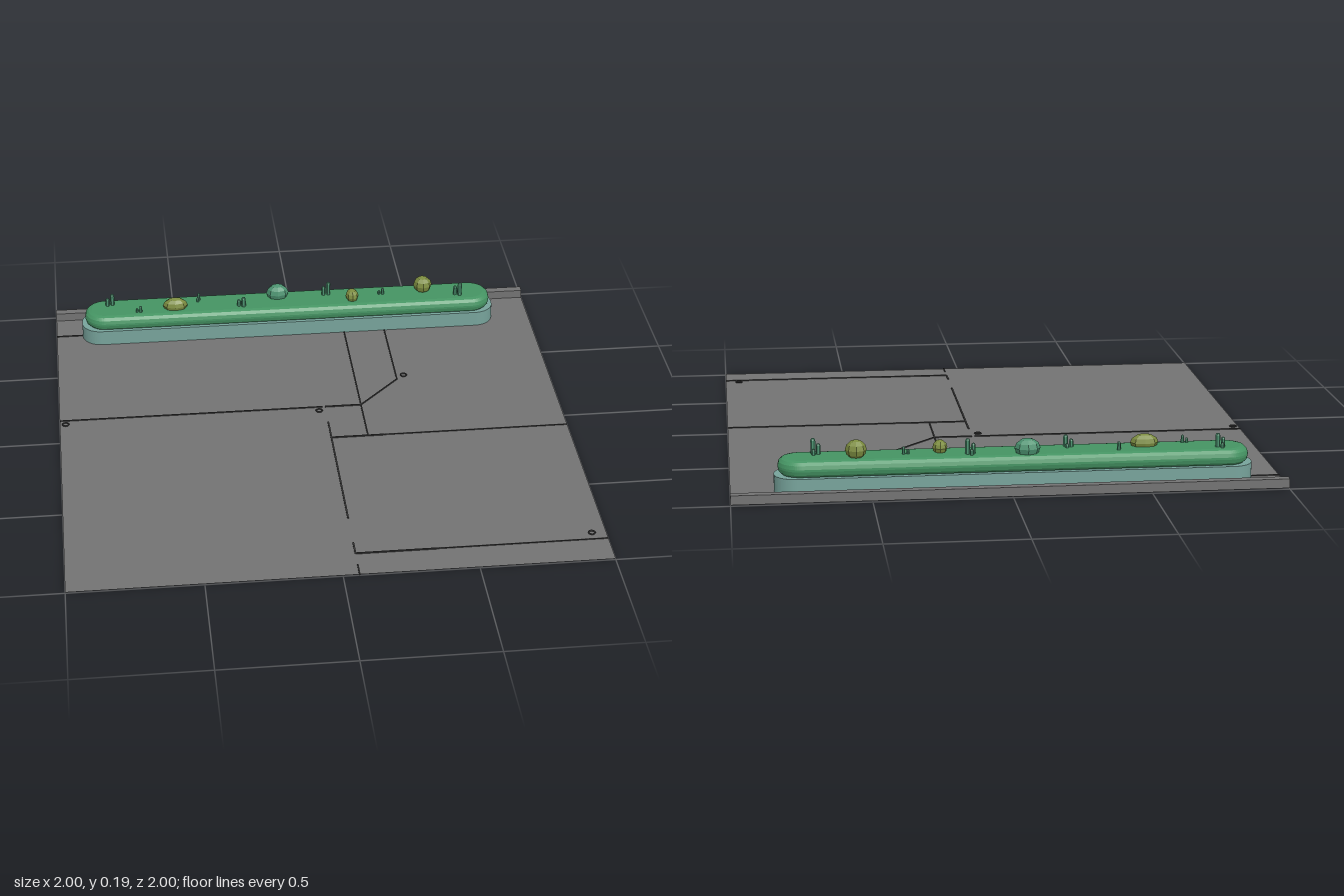
import * as THREE from 'three';

const mat = (name, color, extra = {}) => {
  const m = new THREE.MeshStandardMaterial({ color, ...extra });
  m.name = name;
  return m;
};

// Rounded rectangle outline centred on the origin
function roundedRect(w, d, r) {
  const s = new THREE.Shape(), x = w / 2, y = d / 2;
  s.moveTo(-x + r, -y);
  s.lineTo(x - r, -y);
  s.absarc(x - r, -y + r, r, -Math.PI / 2, 0);
  s.absarc(x - r, y - r, r, 0, Math.PI / 2);
  s.absarc(-x + r, y - r, r, Math.PI / 2, Math.PI);
  s.absarc(-x + r, -y + r, r, Math.PI, Math.PI * 1.5);
  return s;
}

export function createModel() {
  const root = new THREE.Group();
  root.name = 'plazaWithPlanter';
  const paving = mat('paving grey', 0x737373, { side: THREE.DoubleSide });
  const seam = mat('seam dark grey', 0x3c3c3c);
  const stone = mat('planter teal', 0x77a39b);
  const hedge = mat('hedge green', 0x459463);
  const olive = mat('olive bush', 0x7c8c40, { flatShading: true });
  const jade = mat('jade bush', 0x4c9270, { flatShading: true });

  const add = (name, geo, m, x = 0, y = 0, z = 0, parent = root) => {
    const mesh = new THREE.Mesh(geo, m);
    mesh.name = name;
    mesh.position.set(x, y, z);
    parent.add(mesh);
    return mesh;
  };

  // Ground sheet and raised curb along the back
  add('ground', new THREE.PlaneGeometry(2, 2).rotateX(-Math.PI / 2), paving, 0, 0.004, 0);
  add('backCurb', new THREE.BoxGeometry(2, 0.034, 0.034), paving, 0, 0.021, -0.983);

  // Paving seams: x1, z1, x2, z2, width
  const seams = [
    [-1, -0.83, -0.85, -0.83, 0.004], [-1, -0.157, 0.05, -0.157, 0.004],
    [0.06, -0.157, 0.205, -0.157, 0.006], [0.205, -0.965, 0.205, 0.075, 0.005],
    [0.375, -0.965, 0.375, -0.34, 0.005], [0.375, -0.34, 0.205, -0.157, 0.004],
    [0.06, 0.075, 0.27, 0.075, 0.006], [0.27, 0.075, 1, 0.075, 0.0015],
    [0.06, -0.04, 0.06, 0.64, 0.006], [0.06, 0.8, 0.06, 0.87, 0.006],
    [0.06, 0.94, 0.06, 1, 0.005], [0.06, 0.87, 0.37, 0.87, 0.006],
    [0.37, 0.87, 1, 0.87, 0.0015],
  ];
  for (const [x1, z1, x2, z2, w] of seams) {
    const s = add('pavingSeam', new THREE.BoxGeometry(Math.hypot(x2 - x1, z2 - z1), 0.008, w), seam,
      (x1 + x2) / 2, 0.004, (z1 + z2) / 2);
    s.rotation.y = -Math.atan2(z2 - z1, x2 - x1);
  }

  // Small ring fittings set in the paving
  for (const [x, z] of [[-0.977, -0.125], [0.033, -0.125], [0.405, -0.365], [0.945, 0.832]]) {
    add('groundRing', new THREE.TorusGeometry(0.012, 0.003, 6, 16).rotateX(Math.PI / 2), seam, x, 0.009, z);
  }

  // Planter wall with the hedge bulging out above it
  const planter = new THREE.Group();
  planter.name = 'planter';
  planter.position.set(-0.024, 0, -0.831);
  root.add(planter);
  const base = new THREE.ExtrudeGeometry(roundedRect(1.735, 0.172, 0.08), {
    depth: 0.062, bevelEnabled: false, curveSegments: 8,
  }).rotateX(-Math.PI / 2);
  add('planterWall', base, stone, 0, 0.005, 0, planter);
  const top = new THREE.ExtrudeGeometry(roundedRect(1.65, 0.12, 0.055), {
    depth: 0.008, bevelEnabled: true, bevelThickness: 0.027, bevelSize: 0.028,
    bevelSegments: 3, curveSegments: 8,
  }).rotateX(-Math.PI / 2);
  add('hedgeBed', top, hedge, 0, 0.093, 0, planter);

  // Faceted bushes: x, z, half sizes, centre height, material
  const bushes = [
    [-0.5, -0.812, 0.052, 0.032, 0.032, 0.14, olive],
    [-0.066, -0.866, 0.047, 0.036, 0.038, 0.146, jade],
    [0.245, -0.812, 0.027, 0.027, 0.036, 0.143, olive],
    [0.55, -0.855, 0.039, 0.036, 0.038, 0.155, olive],
  ];
  for (const [x, z, rx, ry, rz, y, m] of bushes) {
    add('bush', new THREE.SphereGeometry(1, 8, 6).scale(rx, ry, rz), m, x, y, z);
  }

  // Little branching cacti: x, z, top height, stem count, turn
  const cacti = [
    [-0.773, -0.865, 0.18, 3, 0.3], [-0.653, -0.793, 0.157, 2, 0.6],
    [-0.405, -0.86, 0.16, 2, -0.7], [-0.222, -0.802, 0.172, 3, 0.9],
    [0.138, -0.865, 0.186, 3, 0.4], [0.37, -0.842, 0.156, 2, 0.5],
    [0.694, -0.805, 0.186, 3, 1.0],
  ];
  for (const [x, z, h, n, turn] of cacti) {
    const plant = new THREE.Group();
    plant.name = 'cactus';
    plant.position.set(x, 0.12, z);
    root.add(plant);
    for (let i = 0; i < n; i++) {
      const r = (n === 3 ? 0.009 : 0.006) - i * 0.001;
      const len = (h - 0.12) * (1 - i * 0.27);
      const a = turn + i * Math.PI * 2 / 3, off = n === 3 ? 0.012 : 0.009;
      add('cactusStem', new THREE.CapsuleGeometry(r, Math.max(len - 2 * r, 0.002), 2, 6), jade,
        Math.cos(a) * off, len / 2, Math.sin(a) * off, plant);
    }
  }
  return root;
}
